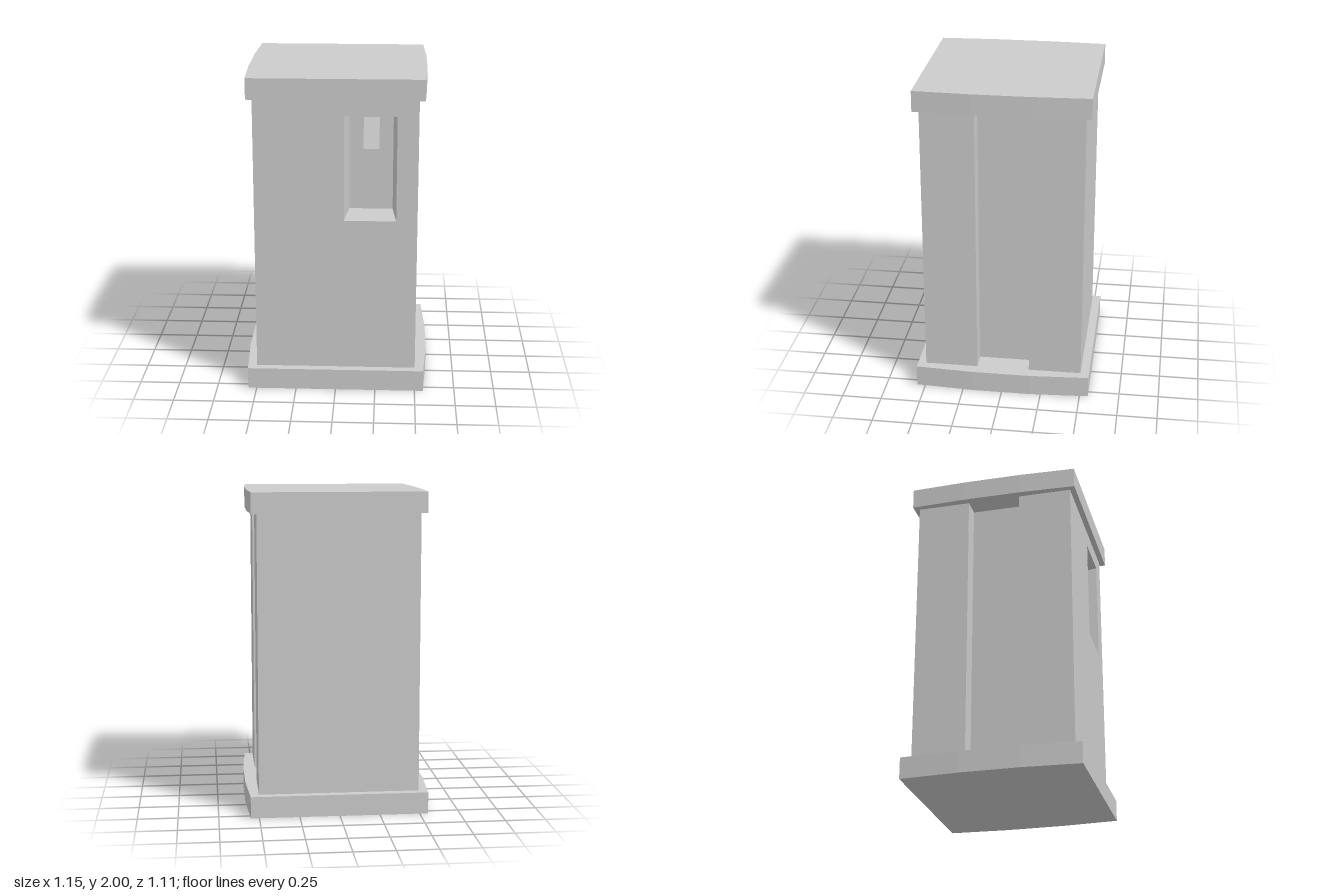
import * as THREE from 'three';

const material = new THREE.MeshStandardMaterial({ color: 0xcccccc, flatShading: true });

const BODY_BOTTOM = 0.135, BODY_TOP = 1.87;

function shapeOf(points) {
  return new THREE.Shape(points.map(([x, y]) => new THREE.Vector2(x, y)));
}

function part(name, geometry) {
  const mesh = new THREE.Mesh(geometry, material);
  mesh.name = name;
  return mesh;
}

// Plan outline given as (x, z), raised from y0 to y1
function upright(name, plan, y0, y1) {
  const shape = shapeOf(plan.map(([x, z]) => [x, -z]));
  const geometry = new THREE.ExtrudeGeometry(shape, { depth: y1 - y0, bevelEnabled: false });
  geometry.rotateX(-Math.PI / 2);
  geometry.translate(0, y0, 0);
  return part(name, geometry);
}

// Slab with straight front and back, and sides bowed in three facets
function slab(name, corner, bulge, y0, y1) {
  const side = [[corner, corner], [bulge, 0.184], [bulge, -0.184], [corner, -corner]];
  const plan = [...side, ...side.map(([x, z]) => [-x, -z])];
  return upright(name, plan, y0, y1);
}

// Rear body with a vertical channel on each side
function rearBody() {
  const w = 0.5, inner = 0.38, c = 0.167;
  const side = [[w, 0.25], [w, c], [inner, c], [inner, -c], [w, -c], [w, -0.5]];
  const plan = [...side, ...side.map(([x, z]) => [-x, z]).reverse()];
  return upright('body', plan, BODY_BOTTOM, BODY_TOP);
}

// Front of the body, with a niche that narrows towards its back
function frontBody() {
  const shape = shapeOf([[-0.5, BODY_BOTTOM], [0.5, BODY_BOTTOM], [0.5, BODY_TOP], [-0.5, BODY_TOP]]);
  shape.holes.push(shapeOf([[0.05, 1.11], [0.05, 1.765], [0.37, 1.765], [0.37, 1.11]]));
  const geometry = new THREE.ExtrudeGeometry(shape, { depth: 0.25, bevelEnabled: false });
  geometry.translate(0, 0, 0.25);
  const p = geometry.attributes.position;
  for (let i = 0; i < p.count; i++) {
    const x = p.getX(i), y = p.getY(i);
    if (p.getZ(i) > 0.3 || Math.abs(x) > 0.45) continue;
    p.setX(i, x < 0.2 ? 0.075 : 0.347);
    if (y > 1.5) p.setY(i, 1.715);
  }
  geometry.computeVertexNormals();
  return part('nicheFront', geometry);
}

// Slanted spout hanging from the niche ceiling, section given as (z, y)
function spout() {
  const section = [[0.383, 1.535], [0.31, 1.75], [0.22, 1.75], [0.293, 1.535]];
  const shape = shapeOf(section.map(([z, y]) => [-z, y]));
  const geometry = new THREE.ExtrudeGeometry(shape, { depth: 0.097, bevelEnabled: false });
  geometry.rotateY(Math.PI / 2);
  geometry.translate(0.165, 0, 0);
  return part('spout', geometry);
}

export function createModel() {
  const model = new THREE.Group();
  model.name = 'dispenser';
  model.add(
    slab('base', 0.553, 0.575, 0, BODY_BOTTOM),
    rearBody(),
    frontBody(),
    spout(),
    slab('cap', 0.535, 0.549, BODY_TOP, 2),
  );
  return model;
}
